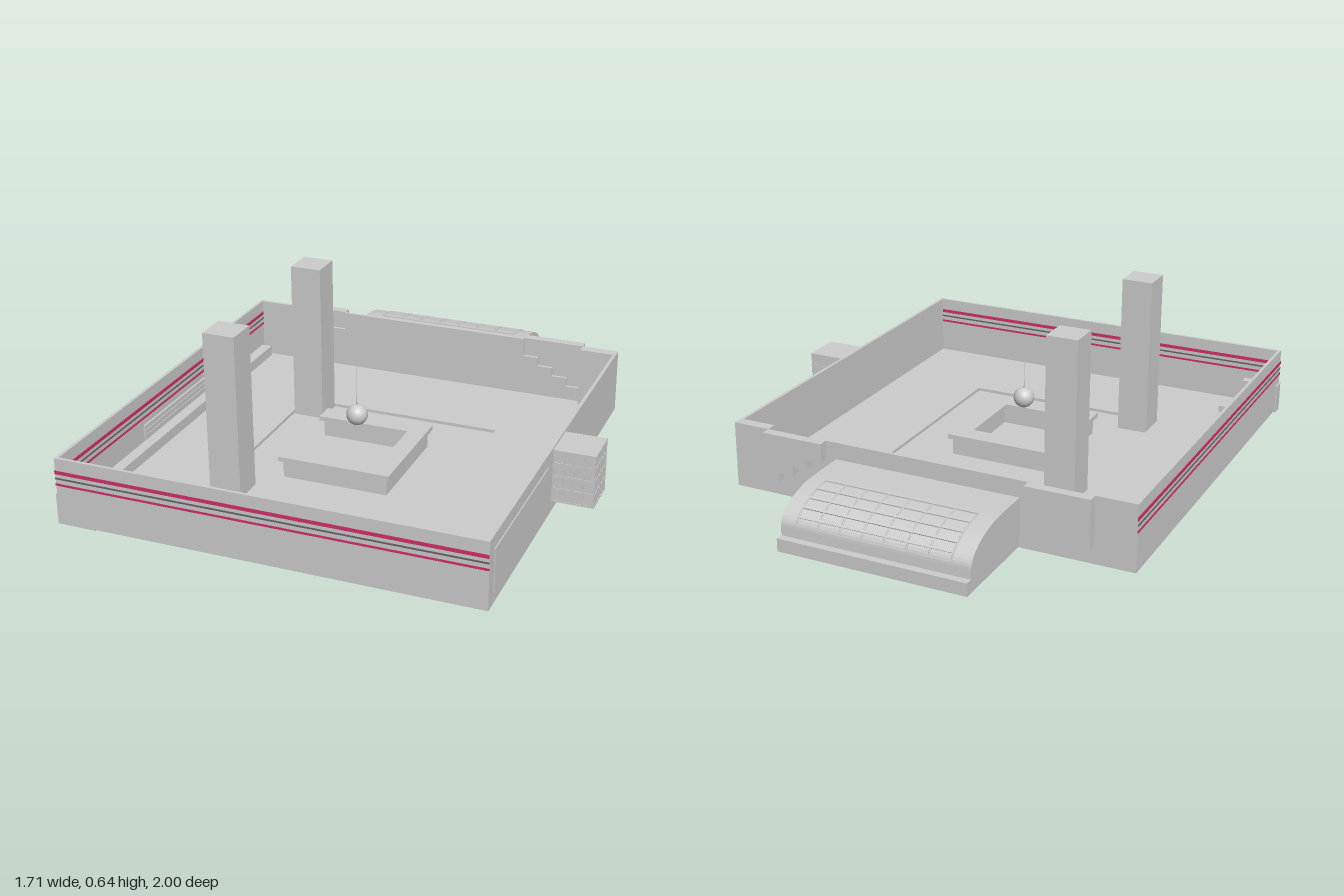
import * as THREE from 'three';

const grey = new THREE.MeshStandardMaterial({ color: 0xcccccc, flatShading: true });
const smooth = new THREE.MeshStandardMaterial({ color: 0xcccccc });
const pink = new THREE.MeshStandardMaterial({ color: 0xd03068 });
const dark = new THREE.MeshStandardMaterial({ color: 0x666666 });

// Box given by its limits on each axis
function box(parent, name, [x0, x1], [y0, y1], [z0, z1], mat = grey) {
  const m = new THREE.Mesh(new THREE.BoxGeometry(x1 - x0, y1 - y0, z1 - z0), mat);
  m.position.set((x0 + x1) / 2, (y0 + y1) / 2, (z0 + z1) / 2);
  m.name = name;
  parent.add(m);
  return m;
}

const shapeOf = pts => new THREE.Shape(pts.map(p => new THREE.Vector2(...p)));

function extrude(parent, name, shape, depth) {
  const m = new THREE.Mesh(new THREE.ExtrudeGeometry(shape, { depth, bevelEnabled: false }), grey);
  m.name = name;
  parent.add(m);
  return m;
}

function group(parent, name) {
  const g = new THREE.Group();
  g.name = name;
  parent.add(g);
  return g;
}

// Stair outline under a block, low at the outer x, short at the inner x
function stairs(outer, inner, n = 4) {
  const pts = [];
  for (let i = 0; i < n; i++) {
    const y = 0.09 + 0.035 * i;
    pts.push([outer + (inner - outer) * i / n, y], [outer + (inner - outer) * (i + 1) / n, y]);
  }
  return pts;
}

export function createModel() {
  const model = new THREE.Group();
  model.name = 'room';
  const L = -0.85, R = 0.703, B = -0.61, F = 0.998, T = 0.012, TOP = 0.268;

  // Floor with a shallow sunken square
  const pitX = [-0.47, 0.33], pitZ = [-0.22, 0.62];
  const floorShape = shapeOf([[L, -F], [R, -F], [R, -B], [L, -B]]);
  floorShape.holes.push(new THREE.Path([
    [pitX[0], -pitZ[1]], [pitX[0], -pitZ[0]], [pitX[1], -pitZ[0]], [pitX[1], -pitZ[1]],
  ].map(p => new THREE.Vector2(...p))));
  const floor = extrude(model, 'floor', floorShape, 0.014);
  floor.rotation.x = -Math.PI / 2;
  floor.position.y = 0.02;
  box(model, 'sunkenFloor', pitX, [0, 0.022], pitZ);

  // Front and side walls
  box(model, 'frontWall', [L, R], [0.024, TOP], [F - T, F]);
  box(model, 'leftWall', [L, L + T], [0.024, TOP], [B, F]);
  box(model, 'rightWall', [R - T, R], [0.024, TOP], [B, F]);
  box(model, 'rightWallPanel', [R, R + 0.004], [0.06, 0.22], [0.36, 0.95]);

  // Back wall notched where the stepped niches sit
  const nicheL = stairs(-0.70, -0.46), nicheR = stairs(0.56, 0.32);
  const back = extrude(model, 'backWall', shapeOf([
    [L, 0.024], [R, 0.024], [R, TOP], [0.56, TOP], ...nicheR, [0.32, TOP],
    [-0.46, TOP], ...nicheL.slice().reverse(), [-0.70, TOP], [L, TOP],
  ]), T);
  back.position.z = B;
  for (const [name, pts, o, i] of [['leftNiche', nicheR, 0.56, 0.32], ['rightNiche', nicheL, -0.70, -0.46]]) {
    const niche = extrude(model, name, shapeOf([[o, TOP], ...pts, [i, TOP]]), 0.036);
    niche.position.z = B - 0.036;
  }
  box(model, 'cornerPost', [0.56, R], [0.024, TOP], [B, -0.57]);

  // Coloured stripes running round the front and left walls
  const stripes = group(model, 'stripes');
  for (const [y, h, mat] of [[0.215, 0.013, pink], [0.192, 0.006, dark], [0.169, 0.008, pink]]) {
    const ys = [y - h / 2, y + h / 2];
    box(stripes, 'frontStripe', [L - 0.002, R], ys, [F - T - 0.002, F + 0.002], mat);
    box(stripes, 'leftStripe', [L - 0.002, L + T + 0.002], ys, [B, F], mat);
  }

  // Fittings along the left wall
  box(model, 'wallBench', [L + T, -0.795], [0.03, 0.075], [-0.58, 0.95]);
  const screen = group(model, 'wallScreen');
  box(screen, 'screenPanel', [L + T, L + T + 0.008], [0.085, 0.14], [-0.08, 0.43]);
  for (const y of [0.1, 0.12]) {
    box(screen, 'screenBar', [L + T, L + T + 0.011], [y, y + 0.004], [-0.08, 0.43]);
  }
  box(model, 'cornerBlock', [-0.857, -0.71], [0.015, 0.13], [0.95, F - 0.002]);
  box(model, 'floorBox', [-0.74, -0.66], [0.03, 0.06], [0.81, 0.89]);

  // Two tall columns
  for (const z of [-0.16, 0.56]) {
    box(model, 'column', [-0.465, -0.345], [0.01, 0.64], [z - 0.06, z + 0.06]);
  }

  // U-shaped counter: overhanging slab on an inset base
  const counter = group(model, 'counter');
  const uShape = d => shapeOf([
    [-0.29 + d, -0.42 + d], [0.14 - d, -0.42 + d], [0.14 - d, 0.03 - d], [-0.29 + d, 0.03 - d],
    [-0.29 + d, -0.05 + d], [0.07 + d, -0.05 + d], [0.07 + d, -0.34 - d], [-0.29 + d, -0.34 - d],
  ]);
  for (const [name, d, y, h] of [['counterBase', 0.014, 0.02, 0.07], ['counterTop', 0, 0.088, 0.018]]) {
    const part = extrude(counter, name, uShape(d), h);
    part.rotation.x = -Math.PI / 2;
    part.position.y = y;
  }

  // Hanging globe on a fine wire
  const globe = new THREE.Mesh(new THREE.SphereGeometry(0.04, 24, 16), smooth);
  globe.position.set(-0.073, 0.215, 0.195);
  globe.name = 'globe';
  const wire = new THREE.Mesh(new THREE.CylinderGeometry(0.001, 0.001, 0.17, 6), smooth);
  wire.position.set(-0.073, 0.325, 0.195);
  wire.name = 'globeWire';
  model.add(globe, wire);

  // Rear annex with a rounded roof; profile in (distance behind the wall, height)
  const annex = group(model, 'annex');
  const arc = t => [0.135 + 0.225 * Math.sin(t), 0.105 + 0.1 * Math.cos(t)];
  const roof = Array.from({ length: 17 }, (_, i) => arc(i / 16 * Math.PI / 2));
  const body = extrude(annex, 'annexBody', shapeOf([
    [0, 0.024], [0.39, 0.024], [0.39, 0.072], [0.362, 0.072], ...roof.reverse(), [0, 0.205],
  ]), 0.71);
  body.rotation.y = Math.PI / 2;
  body.position.set(-0.43, 0, B);

  // Glazing bars across and along the rounded roof
  const bars = group(annex, 'glazingBars');
  for (let i = 0; i < 6; i++) {
    const t = 0.15 + i * 0.255;
    const [d, y] = arc(t);
    const bar = box(bars, 'crossBar', [-0.36, 0.22], [y - 0.004, y + 0.004], [B - d - 0.004, B - d + 0.004]);
    bar.rotation.x = -Math.atan2(0.1 * Math.sin(t), 0.225 * Math.cos(t));
  }
  for (let i = 0; i < 8; i++) {
    const x = -0.36 + 0.58 * i / 7;
    const path = new THREE.CatmullRomCurve3(Array.from({ length: 9 }, (_, k) => {
      const [d, y] = arc(0.15 + k / 8 * 1.275);
      return new THREE.Vector3(x, y, B - d);
    }));
    const rib = new THREE.Mesh(new THREE.TubeGeometry(path, 16, 0.004, 5), smooth);
    rib.name = 'rib';
    bars.add(rib);
  }

  // Side bay with a square lattice on its outer faces
  const bay = group(model, 'sideBay');
  const bx = [R, 0.852], by = [0.06, 0.26], bz = [0.15, 0.30], e = 0.003;
  box(bay, 'bayBody', bx, by, bz);
  for (let i = 0; i <= 4; i++) {
    const at = ([a, b]) => { const c = a + e + (b - a - 2 * e) * i / 4; return [c - e, c + e]; };
    const out = ([a, b]) => [a - e, b + e];
    box(bay, 'latticeRow', [bx[0], bx[1] + e], at(by), out(bz));
    box(bay, 'latticeSidePost', at(bx), by, out(bz));
    box(bay, 'latticeOuterPost', [bx[0], bx[1] + e], by, at(bz));
  }
  return model;
}
